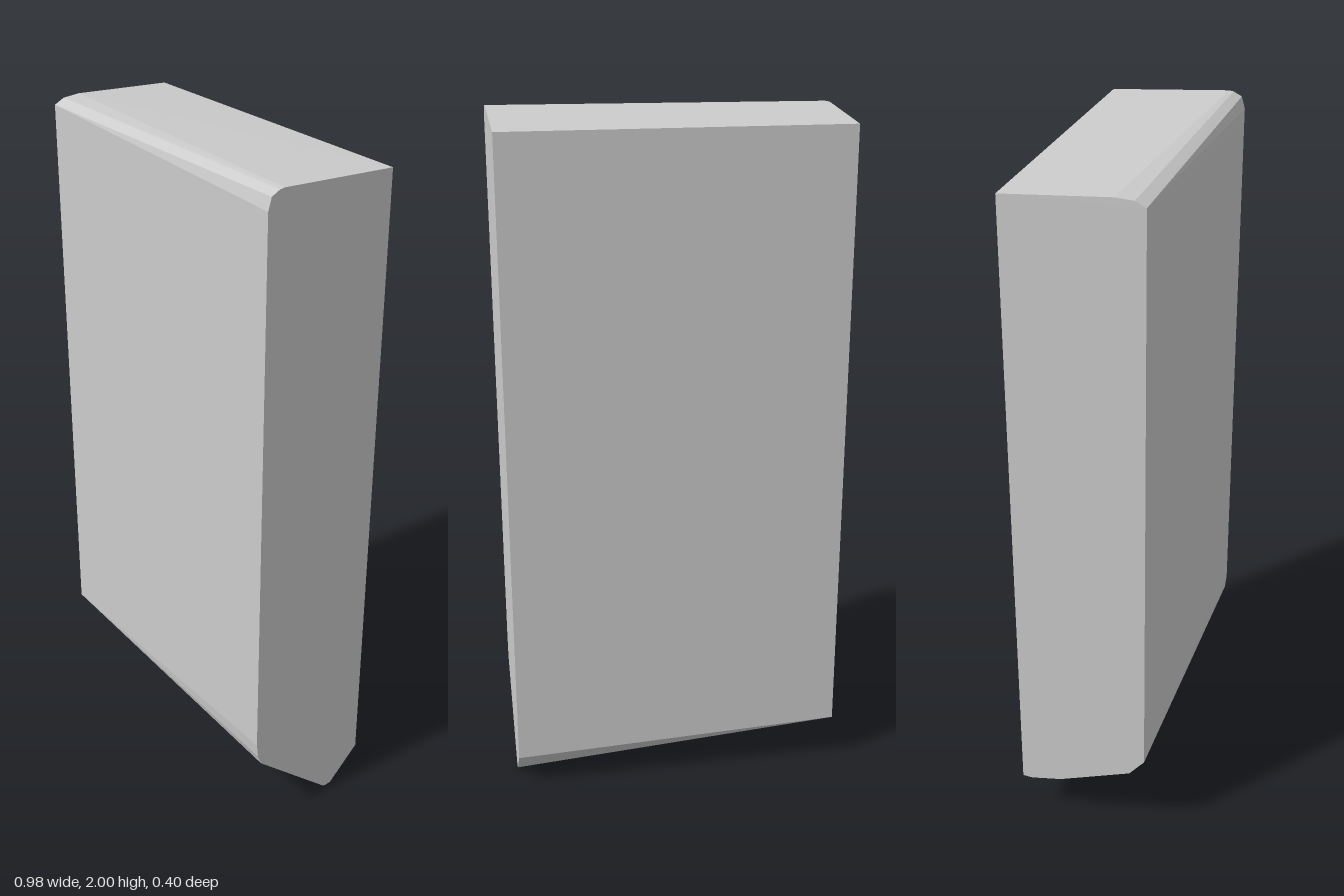
import * as THREE from 'three';
import { ConvexGeometry } from 'three/addons/geometries/ConvexGeometry.js';

// End profiles as [z, y], running from the back top over the front to the back bottom
const leftEnd = [
  [-0.2, 1.978], [0.15, 2], [0.165, 1.998], [0.19, 1.985], [0.2, 1.95],
  [0.2, 0.31], [0.195, 0.265], [0.183, 0.232], [-0.07, 0.003], [-0.08, 0], [-0.1, 0.002], [-0.2, 0.1],
];
const rightEnd = [
  [-0.2, 1.975], [0.1, 1.994], [0.15, 1.99], [0.18, 1.975],
  [0.18, 0.285], [0.135, 0.232], [-0.08, 0.156], [-0.17, 0.14], [-0.2, 0.142],
];
const halfWidth = 0.49;

export function createModel() {
  const group = new THREE.Group();
  group.name = 'stoneSlab';

  // Faceted slab stretched between the two unequal ends
  const corners = (profile, x) => profile.map(([z, y]) => new THREE.Vector3(x, y, z));
  const geometry = new ConvexGeometry([
    ...corners(leftEnd, halfWidth),
    ...corners(rightEnd, -halfWidth),
  ]);
  const slab = new THREE.Mesh(
    geometry,
    new THREE.MeshStandardMaterial({ color: 0xcccccc, flatShading: true }),
  );
  slab.name = 'slab';
  group.add(slab);
  return group;
}
